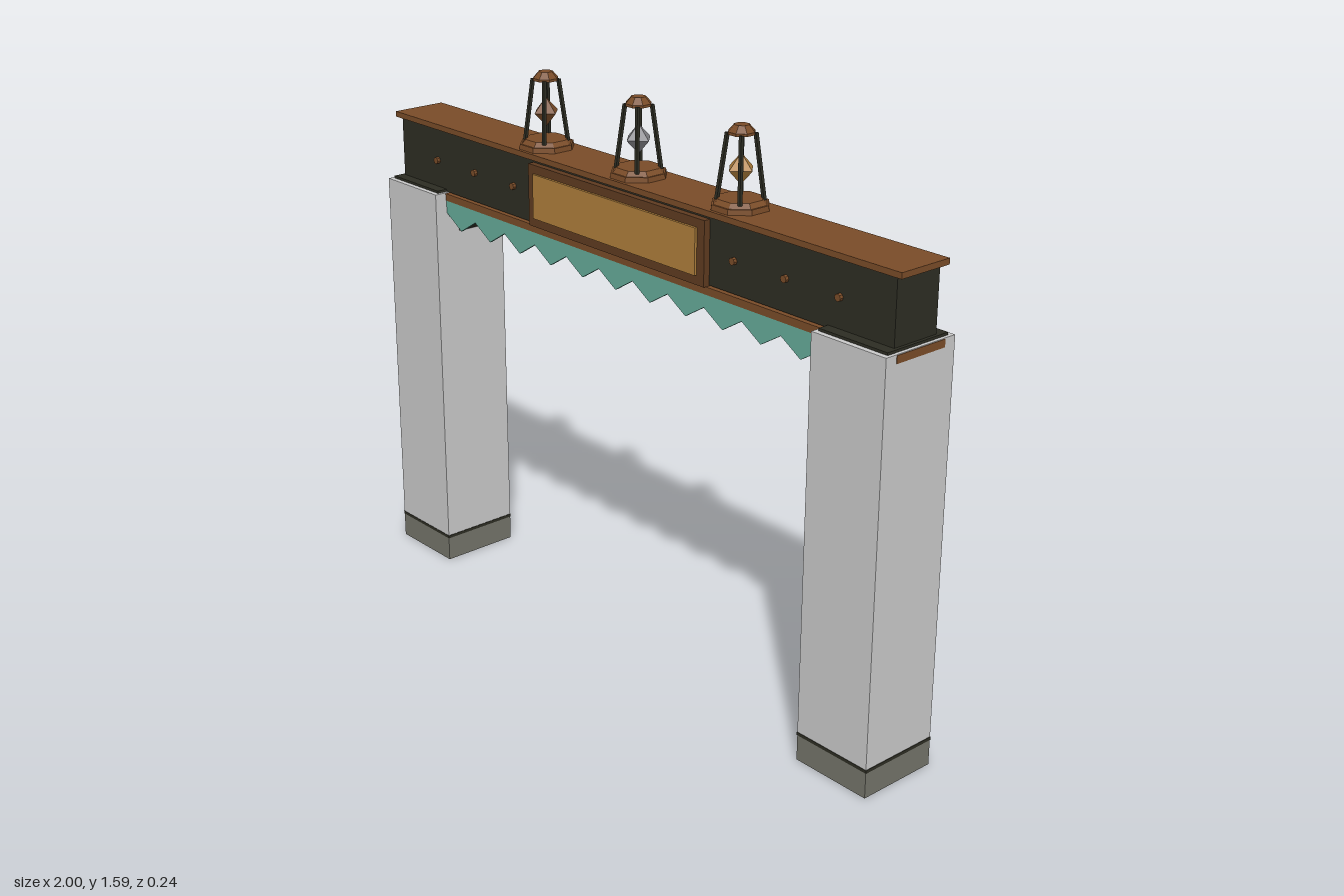
import * as THREE from 'three';

const mat = (name, color, extra = {}) => {
  const m = new THREE.MeshStandardMaterial({ color, ...extra });
  m.name = name;
  return m;
};

export function createModel() {
  const M = {
    stone: mat('pale stone', 0xcbcbcb),
    base: mat('grey footing', 0x74746a),
    iron: mat('dark iron', 0x2d2d23),
    copper: mat('copper', 0x7a4c28, { flatShading: true }),
    frame: mat('dark copper', 0x5f3b20),
    gold: mat('gold', 0xb07f3c, { flatShading: true }),
    silver: mat('silver', 0x85858a, { flatShading: true }),
    teal: mat('teal', 0x66ac9a),
  };
  const root = new THREE.Group();
  root.name = 'gateway';

  const add = (parent, name, geo, material, x = 0, y = 0, z = 0) => {
    const m = new THREE.Mesh(geo, material);
    m.name = name;
    m.position.set(x, y, z);
    parent.add(m);
    return m;
  };
  // box given by its centre x/z and its bottom and top heights
  const slab = (parent, name, material, w, y0, y1, d, x = 0, z = 0) =>
    add(parent, name, new THREE.BoxGeometry(w, y1 - y0, d), material, x, (y0 + y1) / 2, z);
  // square bar between two points
  const bar = (parent, name, material, a, b, w, d) => {
    const dir = b.clone().sub(a);
    const m = add(parent, name, new THREE.BoxGeometry(w, dir.length(), d), material);
    m.position.copy(a).add(b).multiplyScalar(0.5);
    m.quaternion.setFromUnitVectors(new THREE.Vector3(0, 1, 0), dir.normalize());
    return m;
  };
  const V = (x, y, z) => new THREE.Vector3(x, y, z);

  // Pillars with footing, band, bearing plate and corner brace
  for (const s of [-1, 1]) {
    const p = new THREE.Group();
    p.name = s > 0 ? 'leftPillar' : 'rightPillar';
    root.add(p);
    const x = s * 0.879;
    slab(p, 'footing', M.base, 0.239, 0, 0.073, 0.24, x);
    slab(p, 'footingBand', M.iron, 0.242, 0.073, 0.082, 0.242, x);
    slab(p, 'shaft', M.stone, 0.239, 0.082, 1.18, 0.24, x);
    slab(p, 'bearingPlate', M.iron, 0.22, 1.18, 1.187, 0.21, x);
    bar(p, 'brace', M.iron, V(s * 0.77, 1.06, 0), V(s * 0.66, 1.15, 0), 0.02, 0.08);
  }

  // Beam with its flanges
  slab(root, 'beam', M.iron, 1.96, 1.18, 1.362, 0.146);
  slab(root, 'topFlange', M.copper, 2, 1.362, 1.378, 0.165);
  slab(root, 'bottomFlange', M.copper, 2, 1.157, 1.178, 0.168);

  // Rivets on both faces
  const rivet = new THREE.CylinderGeometry(0.01, 0.01, 0.012, 8).rotateX(Math.PI / 2);
  for (const z of [-0.077, 0.077])
    for (const s of [-1, 1])
      for (const x of [0.445, 0.625, 0.805]) add(root, 'rivet', rivet, M.copper, s * x, 1.267, z);

  // Front sign panel
  slab(root, 'panelFrame', M.frame, 0.71, 1.178, 1.354, 0.022, 0, 0.081);
  slab(root, 'panelFace', M.gold, 0.656, 1.204, 1.33, 0.008, 0, 0.095);

  // Zigzag valances along both lower edges
  const teeth = 11, half = 0.76, step = (2 * half) / teeth;
  const zig = new THREE.Shape();
  zig.moveTo(half, 1.158);
  zig.lineTo(-half, 1.158);
  for (let i = 0; i < teeth; i++) {
    zig.lineTo(-half + i * step, 1.12);
    zig.lineTo(-half + (i + 0.5) * step, 1.078);
  }
  zig.lineTo(half, 1.12);
  zig.closePath();
  const zigGeo = new THREE.ExtrudeGeometry(zig, { depth: 0.008, bevelEnabled: false });
  add(root, 'frontValance', zigGeo, M.teal, 0, 0, 0.074);
  add(root, 'backValance', zigGeo, M.teal, 0, 0, -0.082);

  // Lanterns: octagonal base, four leaning legs, hanging gem, cap
  const oct = (rTop, rBottom, h) => new THREE.CylinderGeometry(rTop, rBottom, h, 8).rotateY(Math.PI / 8);
  [[-0.387, M.copper], [0, M.silver], [0.387, M.gold]].forEach(([x, gem]) => {
    const g = new THREE.Group();
    g.name = 'lantern';
    g.position.set(x, 1.378, 0);
    root.add(g);
    add(g, 'lanternBase', oct(0.077, 0.079, 0.014), M.copper, 0, 0.007, 0);
    add(g, 'lanternBaseTop', oct(0.06, 0.072, 0.012), M.copper, 0, 0.02, 0);
    for (const sx of [-1, 1])
      for (const sz of [-1, 1])
        bar(g, 'lanternLeg', M.iron, V(sx * 0.042, 0.02, sz * 0.042), V(sx * 0.025, 0.192, sz * 0.025), 0.009, 0.009);
    add(g, 'gem', new THREE.OctahedronGeometry(0.041), gem, 0, 0.1, 0);
    add(g, 'lanternCapRim', oct(0.036, 0.036, 0.007), M.copper, 0, 0.192, 0);
    add(g, 'lanternCap', oct(0.02, 0.036, 0.018), M.copper, 0, 0.204, 0);
  });

  return root;
}
